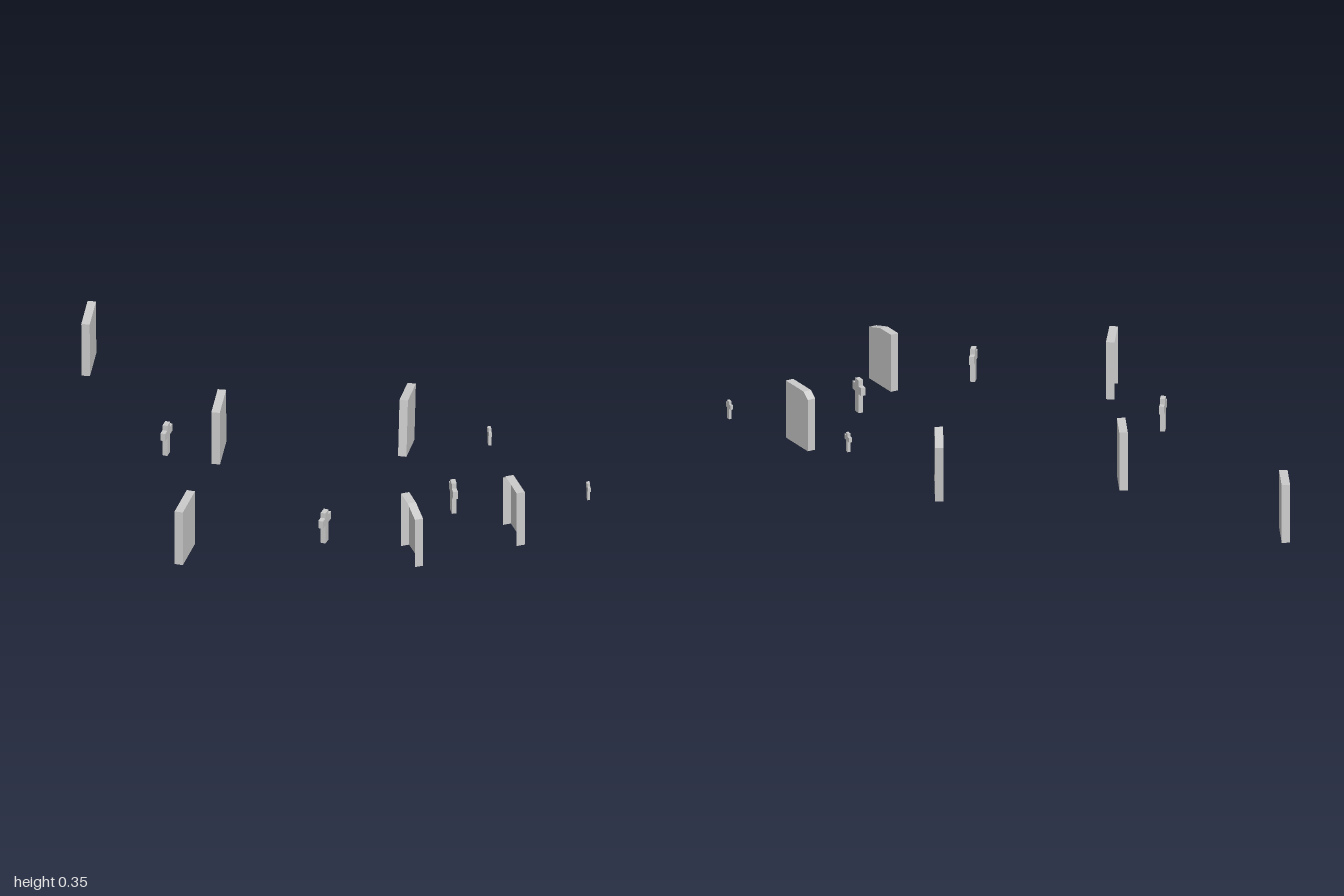
import * as THREE from 'three';
import { mergeGeometries } from 'three/addons/utils/BufferGeometryUtils.js';

const material = new THREE.MeshStandardMaterial({
  color: 0xcccccc, flatShading: true, side: THREE.DoubleSide,
});

const LENGTH = 0.17, HEIGHT = 0.245, THICK = 0.034;

// Slab outline as [z, y], from the front foot over the top to the back foot.
// frontCut and backCut are [run, drop] of a chipped top corner.
function slabOutline(frontCut, backCut) {
  const l = LENGTH / 2, h = HEIGHT / 2;
  const front = frontCut ? [[l, h - frontCut[1]], [l - frontCut[0], h]] : [[l, h]];
  const back = backCut ? [[-l + backCut[0], h], [-l, h - backCut[1]]] : [[-l, h]];
  return [[l, -h], ...front, ...back, [-l, -h]];
}

// Shell of one broad face and its rim; the foot and the other broad face are open.
function openSlab(outline) {
  const t = THICK / 2;
  const shape = new THREE.Shape(outline.map(([z, y]) => new THREE.Vector2(-z, y)));
  const face = new THREE.ShapeGeometry(shape).rotateY(Math.PI / 2).translate(t, 0, 0).toNonIndexed();
  face.deleteAttribute('uv');

  const rim = [];
  for (let i = 0; i < outline.length - 1; i++) {
    const [z0, y0] = outline[i], [z1, y1] = outline[i + 1];
    const a = [-t, y0, z0], b = [t, y0, z0], c = [t, y1, z1], d = [-t, y1, z1];
    rim.push(...a, ...b, ...c, ...a, ...c, ...d);
  }
  const rimGeometry = new THREE.BufferGeometry();
  rimGeometry.setAttribute('position', new THREE.Float32BufferAttribute(rim, 3));
  rimGeometry.computeVertexNormals();
  return mergeGeometries([face, rimGeometry]);
}

// Upright cross in the z-y plane, standing on its own y = 0.
function crossGeometry() {
  const s = 0.017, w = 0.043, top = 0.14, lo = 0.083, hi = 0.117, depth = 0.02;
  const half = [[s, 0], [s, lo], [w, lo], [w, hi], [s, hi], [s, top]];
  const points = [...half, ...half.map(([x, y]) => [-x, y]).reverse()];
  const shape = new THREE.Shape(points.map(([x, y]) => new THREE.Vector2(x, y)));
  return new THREE.ExtrudeGeometry(shape, { depth, bevelEnabled: false })
    .translate(0, 0, -depth / 2)
    .rotateY(Math.PI / 2);
}

export function createModel() {
  const group = new THREE.Group();

  function place(name, geometry, [x, y, z], yaw, tilt = 0, scale = 1) {
    const mesh = new THREE.Mesh(geometry, material);
    mesh.name = name;
    mesh.position.set(x, y, z);
    mesh.rotation.set(tilt, yaw, 0, 'YXZ');
    mesh.scale.setScalar(scale);
    group.add(mesh);
  }

  // Headstones
  const solid = new THREE.BoxGeometry(THICK, HEIGHT, LENGTH);
  const plain = openSlab(slabOutline());
  const frontChipped = openSlab(slabOutline([0.088, 0.025], null));
  const backChipped = openSlab(slabOutline(null, [0.032, 0.025]));
  place('backHeadstone', solid, [-0.97, 0.127, -0.827], -0.17, 0.03);
  place('middleHeadstone', plain, [-0.467, 0.127, -0.143], -0.17, 0.03);
  place('leaningHeadstone', plain, [0.281, 0.152, -0.14], -0.21, -0.13);
  place('frontRightHeadstone', plain, [-0.62, 0.172, 0.696], -0.31);
  place('chippedHeadstoneLeft', backChipped, [0.692, 0.138, 0.522], 0.31);
  place('chippedHeadstoneFront', frontChipped, [0.281, 0.233, 0.83], 0.31);

  // Grave crosses: position, yaw, scale
  const cross = crossGeometry();
  const crosses = [
    [[-0.68, 0.13, 0.061], -0.36, 1],
    [[-0.065, 0.13, 0.742], -0.4, 1],
    [[0.452, 0.13, 0.526], 0.16, 1],
    [[0.605, 0.157, 0.062], 0.16, 0.57],
    [[0.989, 0.162, 0.495], 0.16, 0.55],
  ];
  crosses.forEach(([position, yaw, scale], i) =>
    place(`cross${i + 1}`, cross, position, yaw, 0, scale));

  return group;
}
